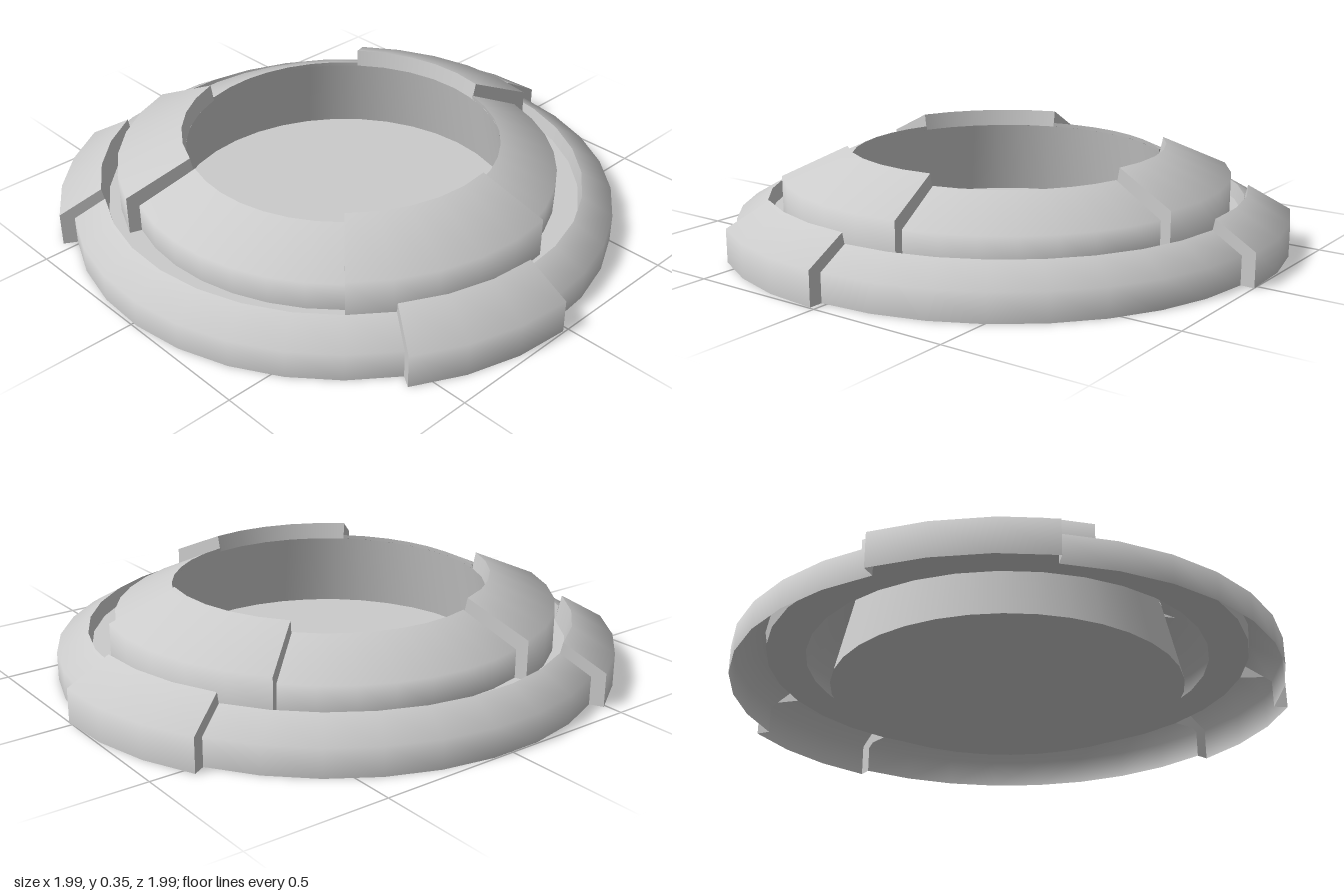
import * as THREE from 'three';

const material = new THREE.MeshStandardMaterial({ color: 0xcccccc, side: THREE.DoubleSide });
const rad = THREE.MathUtils.degToRad;
const toPoints = (list) => list.map(([r, y]) => new THREE.Vector2(r, y));

// Sweeps a profile about y from angle a to b (degrees, +x towards +z)
function sweep(name, profile, a, b, segments) {
  const geometry = new THREE.LatheGeometry(toPoints(profile), segments, rad(90 - b), rad(b - a));
  const mesh = new THREE.Mesh(geometry, material);
  mesh.name = name;
  return mesh;
}

// Radial wall closing the step between the low and the raised profile
function stepWall(name, low, high, angle) {
  const outline = toPoints([...low, ...[...high].reverse()]);
  const mesh = new THREE.Mesh(new THREE.ShapeGeometry(new THREE.Shape(outline)), material);
  mesh.rotation.y = -rad(angle);
  mesh.name = name;
  return mesh;
}

// A ring of three low arcs and three raised pads; low and high are [outer shell, inner wall]
function steppedRing(name, low, high, from, to, padSegments, arcSegments) {
  const ring = new THREE.Group();
  ring.name = name;
  for (let i = 0; i < 3; i++) {
    const a = from + i * 120, b = to + i * 120;
    high.forEach((p, k) => ring.add(sweep(name + (k ? 'PadInnerWall' : 'Pad'), p, a, b, padSegments)));
    low.forEach((p, k) => ring.add(sweep(name + (k ? 'InnerWall' : 'Arc'), p, b, a + 120, arcSegments)));
    for (const angle of [a, b]) ring.add(stepWall(name + 'PadEnd', low.flat(), high.flat(), angle));
  }
  return ring;
}

export function createModel() {
  const model = new THREE.Group();
  model.name = 'steppedDisc';

  // Low outer ring with raised pads
  model.add(steppedRing('outerRing',
    [[[0.972, 0], [0.972, 0.1], [0.86, 0.165]], [[0.86, 0.165], [0.85, 0.11]]],
    [[[1.022, 0], [1.022, 0.12], [0.87, 0.205]], [[0.87, 0.205], [0.85, 0.11]]],
    0, 32.7, 3, 8));

  // Groove floor between the rings
  model.add(sweep('grooveFloor', [[0.855, 0.11], [0.717, 0.11]], 0, 360, 33));

  // Raised inner ring with wider pads
  model.add(steppedRing('innerRing',
    [[[0.765, 0.11], [0.765, 0.21], [0.56, 0.305]], [[0.56, 0.305], [0.563, 0.29]]],
    [[[0.808, 0.11], [0.808, 0.25], [0.575, 0.35]], [[0.575, 0.35], [0.563, 0.29]]],
    -10.8, 43.4, 5, 7));

  // Centre well: slightly flared wall and floor
  model.add(sweep('wellWall', [[0.563, 0.29], [0.626, 0.01]], 0, 360, 36));
  model.add(sweep('wellFloor', [[0.626, 0.01], [0, 0.01]], 0, 360, 36));

  // Centre the uneven outline on the axes
  const root = new THREE.Group();
  model.position.set(-0.027, 0, 0.02);
  root.add(model);
  return root;
}
